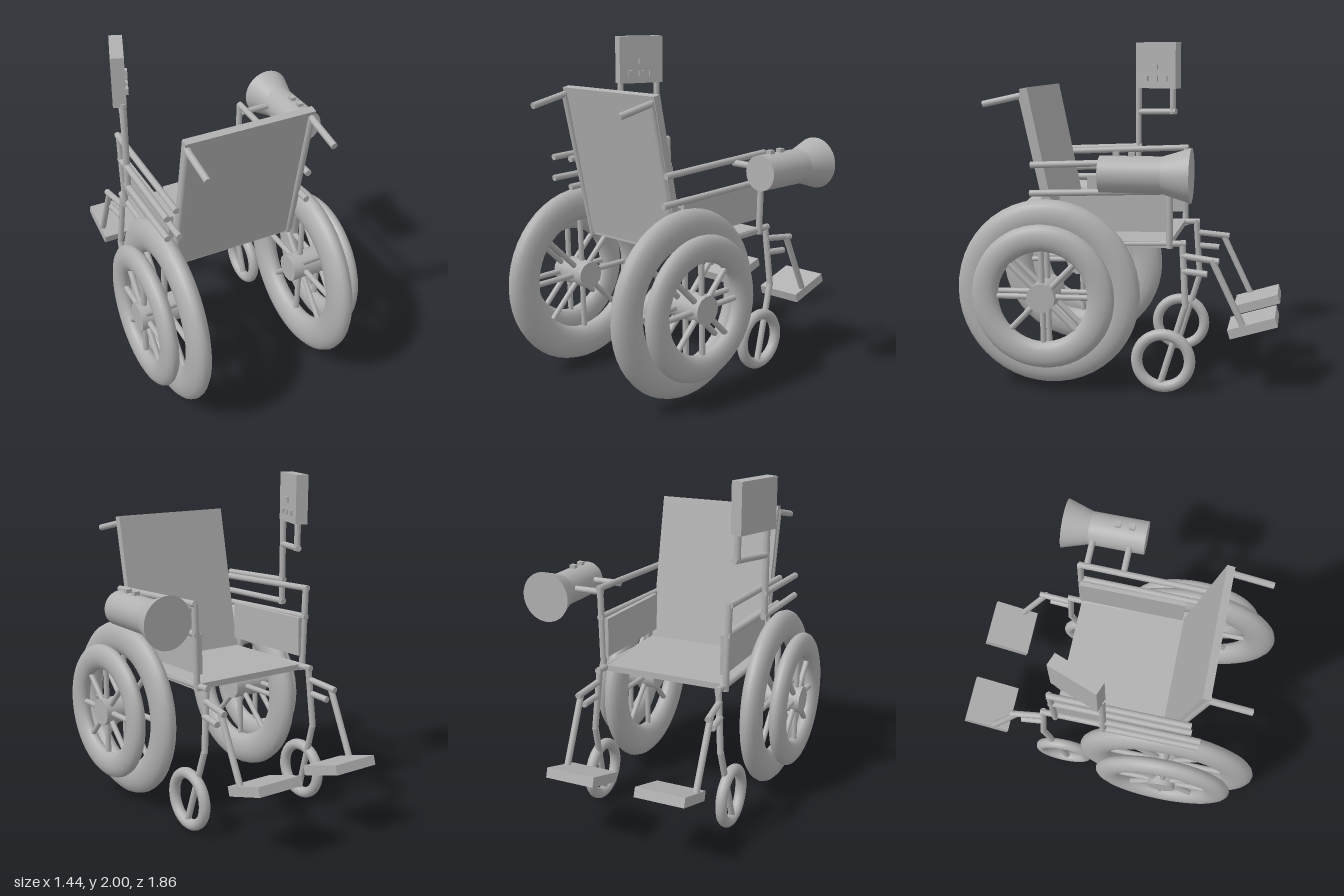
import * as THREE from 'three';

const grey = new THREE.MeshStandardMaterial({ color: 0xb0b0b0 });
grey.name = 'plain grey';
const V = (x, y, z) => new THREE.Vector3(x, y, z);

function add(parent, name, geometry) {
  const mesh = new THREE.Mesh(geometry, grey);
  mesh.name = name;
  parent.add(mesh);
  return mesh;
}

// Straight tube between two points
function rod(parent, name, a, b, r = 0.019) {
  const d = b.clone().sub(a);
  const mesh = add(parent, name, new THREE.CylinderGeometry(r, r, d.length(), 14));
  mesh.position.copy(a).add(b).multiplyScalar(0.5);
  mesh.quaternion.setFromUnitVectors(V(0, 1, 0), d.normalize());
  return mesh;
}

function box(parent, name, size, pos) {
  const mesh = add(parent, name, new THREE.BoxGeometry(...size));
  mesh.position.set(...pos);
  return mesh;
}

// Oval-section tyre, eight spokes and a hub, turning about x
function wheel(parent, name, x, scale, hubWidth) {
  const g = new THREE.Group();
  g.name = name;
  g.position.set(x, 0.572, 0.385);
  parent.add(g);
  const tyre = new THREE.TorusGeometry(0.3375 * scale, 0.0775 * scale, 16, 48);
  tyre.scale(1, 1, 0.62);
  tyre.rotateY(Math.PI / 2);
  add(g, 'tyre', tyre);
  for (let i = 0; i < 8; i++) {
    const a = (i * Math.PI) / 4 + 0.02, r = 0.29 * scale;
    rod(g, 'spoke', V(0, 0, 0), V(0, Math.cos(a) * r, Math.sin(a) * r), 0.017);
  }
  rod(g, 'hub', V(-hubWidth / 2, 0, 0), V(hubWidth / 2, 0, 0), 0.083);
}

export function createModel() {
  const model = new THREE.Group();
  model.name = 'wheelchair';
  const chair = new THREE.Group();
  chair.name = 'chair';
  chair.position.x = -0.1;
  model.add(chair);

  // Seat and reclined backrest
  const seat = box(chair, 'seat', [0.766, 0.035, 0.67], [0.007, 0.853, 0.02]);
  seat.rotation.x = 0.02;
  const back = box(chair, 'backrest', [0.76, 0.9, 0.045], [0.007, 1.295, 0.442]);
  back.rotation.x = 0.205;

  for (const s of [-1, 1]) {
    const side = new THREE.Group();
    side.name = s > 0 ? 'leftSide' : 'rightSide';
    chair.add(side);
    const P = (x, y, z) => V(s * x, y, z);

    // Drive wheel with a smaller outer wheel beside it
    wheel(side, 'driveWheel', s * 0.447, 1.3, 0.165);
    wheel(side, 'outerWheel', s * 0.574, 1, 0.09);

    // Caster and its bent leg
    const ring = new THREE.TorusGeometry(0.154, 0.033, 14, 36);
    ring.rotateY(Math.PI / 2);
    add(side, 'casterWheel', ring).position.set(s * 0.422, 0.188, -0.285);
    rod(side, 'casterFork', P(0.422, 0.06, -0.272), P(0.4, 0.505, -0.405));
    rod(side, 'casterLeg', P(0.4, 0.5, -0.408), P(0.372, 0.88, -0.385));

    // Footrest
    rod(side, 'footrestUpperBar', P(0.38, 0.797, -0.385), P(0.4, 0.775, -0.595));
    rod(side, 'footrestLowerBar', P(0.388, 0.71, -0.39), P(0.4, 0.7, -0.53));
    rod(side, 'footrestStrut', P(0.4, 0.785, -0.555), P(0.397, 0.41, -0.735));
    const plate = box(side, 'footplate', [0.292, 0.056, 0.28], [s * 0.262, 0.4, -0.79]);
    plate.position.x = s * 0.27;
    plate.rotation.x = 0.305;

    // Side frame, armrest and skirt panel
    rod(side, 'seatRail', P(0.375, 0.84, 0.34), P(0.375, 0.868, -0.405));
    rod(side, 'frontPost', P(0.385, 0.84, -0.313), P(0.4, 1.345, -0.313));
    rod(side, 'armrest', P(0.405, 1.3, 0.49), P(0.405, 1.338, -0.325));
    rod(side, 'middleRail', P(0.395, 1.135, 0.5), P(0.395, 1.168, -0.33));
    box(side, 'sidePanel', [0.028, 0.23, 0.64], [s * 0.365, 1.04, 0.005]).rotation.x = 0.02;

    // Back post and push handle
    rod(side, 'backPost', P(0.363, 0.84, 0.36), P(0.363, 1.705, 0.552));
    rod(side, 'pushHandle', P(0.363, 1.695, 0.54), P(0.363, 1.642, 0.78));
  }

  // Flared canister mounted beside one armrest
  const horn = new THREE.Group();
  horn.name = 'flaredCanister';
  horn.position.set(0.573, 1.292, 0);
  model.add(horn);
  const body = new THREE.CylinderGeometry(0.1, 0.1, 0.34, 36);
  body.rotateX(Math.PI / 2);
  add(horn, 'canisterBody', body).position.z = -0.142;
  const flare = new THREE.CylinderGeometry(0.1, 0.148, 0.155, 36);
  flare.rotateX(Math.PI / 2);
  add(horn, 'canisterFlare', flare).position.z = -0.388;
  for (const z of [-0.06, -0.145]) box(horn, 'canisterButton', [0.034, 0.03, 0.034], [0, 0.105, z]);
  for (const z of [-0.06, -0.28]) rod(horn, 'canisterBracket', V(-0.27, 0.015, z), V(-0.05, 0.015, z));

  // Control panel on a pole beside the other armrest
  const stand = new THREE.Group();
  stand.name = 'controlStand';
  model.add(stand);
  const px = -0.585;
  rod(stand, 'upperStandRail', V(px, 1.31, 0.55), V(px, 1.335, -0.01));
  rod(stand, 'lowerStandRail', V(px, 1.185, 0.55), V(px, 1.2, -0.01));
  rod(stand, 'standPole', V(px, 1.18, 0.01), V(px, 1.73, 0.01));
  rod(stand, 'standCrossbar', V(px, 1.557, 0.01), V(-0.495, 1.567, -0.245));
  rod(stand, 'standShortPole', V(-0.504, 1.55, -0.222), V(-0.504, 1.73, -0.222));

  const panel = new THREE.Group();
  panel.name = 'controlPanel';
  panel.position.set(-0.555, 1.855, -0.12);
  panel.rotation.y = -0.355;
  model.add(panel);
  box(panel, 'panelCase', [0.074, 0.29, 0.288], [0, 0, 0]);
  for (const [y, z] of [[-0.083, 0.07], [-0.083, 0], [-0.083, -0.07], [-0.01, 0]]) {
    box(panel, 'panelButton', [0.03, 0.034, 0.036], [0.037, y, z]);
  }
  return model;
}
